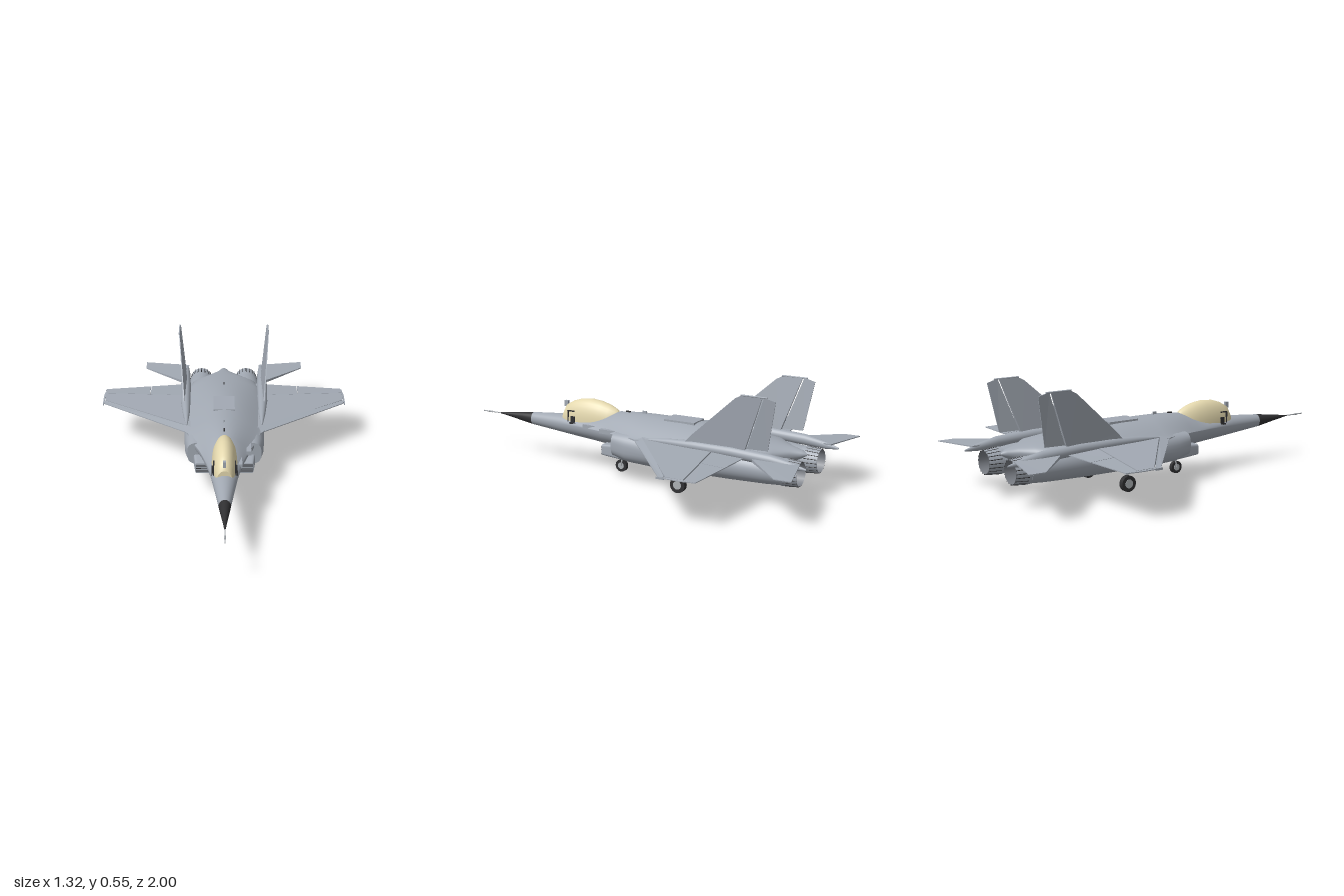
import * as THREE from 'three';

const mat = (name, color, side = THREE.FrontSide) => {
  const m = new THREE.MeshStandardMaterial({ color, side });
  m.name = name;
  return m;
};

export function createModel() {
  const model = new THREE.Group();
  model.name = 'jet';
  const grey = mat('airframe grey', 0xa2a9b3);
  const dark = mat('dark grey', 0x303032);
  const gold = mat('tinted canopy', 0xe4d8ae);
  const metal = mat('light metal', 0xacb0b4);
  const exhaust = mat('exhaust metal', 0x7c8087, THREE.DoubleSide);

  const add = (name, geo, material, x = 0, y = 0, z = 0) => {
    const mesh = new THREE.Mesh(geo, material);
    mesh.name = name;
    mesh.position.set(x, y, z);
    model.add(mesh);
    return mesh;
  };
  const box = (name, w, h, d, material, x, y, z) =>
    add(name, new THREE.BoxGeometry(w, h, d), material, x, y, z);

  // rod between two points
  const rod = (name, a, b, r, material) => {
    const p = new THREE.Vector3(...a), q = new THREE.Vector3(...b);
    const m = add(name, new THREE.CylinderGeometry(r, r, p.distanceTo(q), 10), material);
    m.position.copy(p).lerp(q, 0.5);
    m.quaternion.setFromUnitVectors(new THREE.Vector3(0, 1, 0), q.sub(p).normalize());
  };

  const wheel = (name, x, y, z, r, w) => {
    add(name, new THREE.CylinderGeometry(r, r, w, 24), dark, x, y, z).rotation.z = Math.PI / 2;
    add(name + 'Hub', new THREE.CylinderGeometry(r * 0.55, r * 0.55, w + 0.004, 16), metal, x, y, z).rotation.z = Math.PI / 2;
  };

  // skin over cross-sections that run from front to back, with flat end caps
  const loft = (sections, ring, n = 40) => {
    const pos = [], idx = [];
    const rings = sections.map(s => Array.from({ length: n }, (_, j) => {
      const [x, y] = ring(s, (j / n) * Math.PI * 2);
      return [x, y, s[0]];
    }));
    rings.forEach(r => r.forEach(p => pos.push(...p)));
    for (let i = 0; i < rings.length - 1; i++) for (let j = 0; j < n; j++) {
      const a = i * n + j, b = i * n + (j + 1) % n, c = a + n, d = b + n;
      idx.push(a, c, b, c, d, b);
    }
    for (const [r, front] of [[rings[0], true], [rings[rings.length - 1], false]]) {
      const o = pos.length / 3;
      r.forEach(p => pos.push(...p));
      for (let j = 1; j < n - 1; j++) front ? idx.push(o, o + j, o + j + 1) : idx.push(o, o + j + 1, o + j);
    }
    const g = new THREE.BufferGeometry();
    g.setAttribute('position', new THREE.Float32BufferAttribute(pos, 3));
    g.setIndex(idx);
    g.computeVertexNormals();
    return g;
  };
  const signedPow = (v, e) => Math.sign(v) * Math.abs(v) ** e;
  // [z, half width, top, edge, bottom, shoulder power]
  const bodyRing = ([, w, top, edge, low, k], t) => {
    const s = Math.sin(t);
    return [w * Math.cos(t), s > 0 ? edge + (top - edge) * s ** k : edge - (edge - low) * -s];
  };
  // [z, centre x, centre y, radius x, radius y, squareness]
  const tubeRing = ([, cx, cy, rx, ry, n = 2], t) =>
    [cx + rx * signedPow(Math.cos(t), 2 / n), cy + ry * signedPow(Math.sin(t), 2 / n)];

  // flat-sided slab from corners [x, y, z, half thickness] thickened along a normal
  const panel = (corners, normal) => {
    const N = new THREE.Vector3(...normal).normalize();
    const P = corners.map(c => new THREE.Vector3(c[0], c[1], c[2]));
    const area = new THREE.Vector3();
    P.forEach((p, i) => area.add(p.clone().cross(P[(i + 1) % P.length])));
    const order = corners.map((_, i) => i);
    if (area.dot(N) < 0) order.reverse();
    const up = order.map(i => P[i].clone().addScaledVector(N, corners[i][3]));
    const down = order.map(i => P[i].clone().addScaledVector(N, -corners[i][3]));
    const pos = [], n = P.length;
    const tri = (...v) => v.forEach(p => pos.push(p.x, p.y, p.z));
    for (let i = 1; i < n - 1; i++) {
      tri(up[0], up[i], up[i + 1]);
      tri(down[0], down[i + 1], down[i]);
    }
    for (let i = 0; i < n; i++) {
      const j = (i + 1) % n;
      tri(down[i], down[j], up[j]);
      tri(down[i], up[j], up[i]);
    }
    const g = new THREE.BufferGeometry();
    g.setAttribute('position', new THREE.Float32BufferAttribute(pos, 3));
    g.computeVertexNormals();
    return g;
  };

  // fuselage, nose and probe
  add('fuselage', loft([
    [0.67, 0.029, 0.25, 0.217, 0.184, 1], [0.47, 0.055, 0.266, 0.22, 0.166, 1],
    [0.38, 0.068, 0.266, 0.224, 0.158, 1.1], [0.28, 0.087, 0.272, 0.227, 0.151, 1.4],
    [0.2, 0.108, 0.297, 0.23, 0.145, 2], [0.14, 0.126, 0.317, 0.233, 0.142, 2.3],
    [0.03, 0.172, 0.325, 0.238, 0.138, 2.5], [-0.07, 0.193, 0.325, 0.24, 0.138, 2.5],
    [-0.25, 0.2, 0.324, 0.24, 0.14, 2.4], [-0.42, 0.2, 0.315, 0.24, 0.145, 2.1],
    [-0.6, 0.197, 0.293, 0.236, 0.15, 1.6], [-0.7, 0.175, 0.28, 0.232, 0.16, 1.3],
    [-0.76, 0.105, 0.271, 0.23, 0.17, 1], [-0.82, 0.045, 0.261, 0.23, 0.185, 1],
    [-0.87, 0.022, 0.25, 0.23, 0.21, 1], [-0.895, 0.004, 0.235, 0.23, 0.225, 1]], bodyRing, 48), grey);
  add('noseCone', loft([
    [0.885, 0, 0.22, 0.003, 0.003], [0.8, 0, 0.219, 0.013, 0.014],
    [0.73, 0, 0.218, 0.022, 0.025], [0.67, 0, 0.217, 0.029, 0.033]], tubeRing, 24), dark);
  rod('probe', [0, 0.22, 0.87], [0, 0.22, 1], 0.003, metal);
  rod('probeCollar', [0, 0.22, 0.945], [0, 0.22, 0.965], 0.005, metal);

  // canopy with its dark frame
  add('canopy', loft([
    [0.465, 0.036, 0.29, 0.245, 0.24, 1], [0.45, 0.045, 0.322, 0.245, 0.236, 1],
    [0.41, 0.054, 0.345, 0.243, 0.234, 0.9], [0.36, 0.06, 0.361, 0.242, 0.232, 0.9],
    [0.3, 0.063, 0.367, 0.242, 0.232, 0.9], [0.24, 0.06, 0.36, 0.243, 0.232, 0.9],
    [0.19, 0.052, 0.346, 0.246, 0.236, 1], [0.155, 0.038, 0.33, 0.25, 0.24, 1],
    [0.14, 0.026, 0.318, 0.255, 0.245, 1]], bodyRing, 32), gold);
  for (const s of [-1, 1]) {
    box('canopySill', 0.006, 0.007, 0.24, dark, s * 0.061, 0.237, 0.285);
    box('canopyPost', 0.006, 0.064, 0.006, dark, s * 0.053, 0.268, 0.418);
    box('canopyPost', 0.006, 0.038, 0.024, dark, s * 0.059, 0.255, 0.385);
    box('canopyBrace', 0.006, 0.006, 0.042, dark, s * 0.052, 0.3, 0.4);
  }
  box('sensorBall', 0.014, 0.03, 0.02, grey, 0, 0.325, 0.458);

  // spine details, gun fairing and port on the left side
  box('airbrake', 0.11, 0.014, 0.17, grey, 0, 0.3185, -0.235);
  box('antenna', 0.006, 0.014, 0.022, grey, 0, 0.331, -0.01);
  for (const [z, y] of [[0.085, 0.322], [-0.53, 0.304]]) box('beacon', 0.007, 0.01, 0.025, dark, 0, y, z);
  box('gunFairing', 0.024, 0.022, 0.1, grey, 0.122, 0.238, 0.13);
  box('gunPort', 0.018, 0.02, 0.08, grey, 0.078, 0.236, 0.27);

  for (const s of [-1, 1]) {
    // engine nacelle and intake
    add('nacelle', loft([
      [0.08, s * 0.12, 0.188, 0.068, 0.06, 3], [0.0, s * 0.122, 0.18, 0.08, 0.074, 2.6],
      [-0.15, s * 0.124, 0.177, 0.085, 0.08, 2.2], [-0.55, s * 0.125, 0.175, 0.084, 0.078],
      [-0.75, s * 0.128, 0.172, 0.075, 0.07], [-0.835, s * 0.128, 0.17, 0.068, 0.063]], tubeRing), grey);
    add('intake', loft([
      [0.16, s * 0.11, 0.145, 0.037, 0.028, 6], [0.07, s * 0.115, 0.148, 0.042, 0.036, 6],
      [-0.02, s * 0.118, 0.15, 0.05, 0.044, 4]], tubeRing), grey);
    for (let i = 0; i < 5; i++) box('intakeGrille', 0.066, 0.002, 0.004, dark, s * 0.11, 0.126 + i * 0.0095, 0.161);

    // exhaust nozzle with petal seams
    add('nozzle', new THREE.LatheGeometry([[0.066, 0], [0.066, 0.02], [0.06, 0.09]]
      .map(p => new THREE.Vector2(...p)), 20), grey, s * 0.128, 0.17, -0.828).rotation.x = -Math.PI / 2;
    add('nozzleLiner', new THREE.CylinderGeometry(0.057, 0.057, 0.085, 20, 1, true),
      exhaust, s * 0.128, 0.17, -0.876).rotation.x = -Math.PI / 2;
    add('nozzleCore', new THREE.CircleGeometry(0.057, 20), dark, s * 0.128, 0.17, -0.84).rotation.y = Math.PI;
    for (let i = 0; i < 20; i++) {
      const t = (i / 20) * Math.PI * 2, c = Math.cos(t), q = Math.sin(t);
      rod('petalSeam', [s * 0.128 + c * 0.065, 0.17 + q * 0.065, -0.85],
        [s * 0.128 + c * 0.059, 0.17 + q * 0.059, -0.918], 0.002, dark);
    }

    // tail boom under each fin
    add('tailBoom', loft([
      [-0.12, s * 0.195, 0.25, 0.004, 0.004], [-0.25, s * 0.2, 0.254, 0.018, 0.018],
      [-0.4, s * 0.207, 0.257, 0.026, 0.026], [-0.6, s * 0.211, 0.255, 0.028, 0.028],
      [-0.8, s * 0.213, 0.243, 0.023, 0.027], [-0.91, s * 0.212, 0.228, 0.013, 0.018],
      [-0.975, s * 0.21, 0.22, 0.003, 0.004]], tubeRing, 24), grey);

    // wing in separate panels with narrow gaps between them
    const surface = (name, pts) => add(name, panel(pts.map(([x, z, h]) =>
      [s * x, 0.243 - 0.028 * x, z, h]), [0, 1, 0]), grey);
    surface('wing', [[0.15, -0.07, 0.014], [0.205, -0.13, 0.012], [0.645, -0.475, 0.005], [0.65, -0.568, 0.005], [0.15, -0.485, 0.014]]);
    surface('wingRoot', [[0.15, -0.02, 0.002], [0.192, -0.05, 0.002], [0.21, -0.075, 0.003], [0.21, -0.13, 0.012], [0.15, -0.08, 0.014]]);
    surface('slat', [[0.205, -0.067, 0.002], [0.645, -0.437, 0.002], [0.658, -0.468, 0.003], [0.64, -0.466, 0.005], [0.205, -0.125, 0.011]]);
    surface('wingTip', [[0.648, -0.475, 0.004], [0.658, -0.468, 0.002], [0.66, -0.54, 0.002], [0.652, -0.63, 0.002], [0.65, -0.568, 0.004]]);
    surface('flap', [[0.15, -0.49, 0.012], [0.403, -0.532, 0.008], [0.403, -0.652, 0.002], [0.15, -0.675, 0.002]]);
    surface('aileron', [[0.407, -0.533, 0.008], [0.65, -0.573, 0.004], [0.65, -0.63, 0.002], [0.407, -0.652, 0.002]]);
    box('tipRail', 0.006, 0.01, 0.04, grey, s * 0.655, 0.223, -0.455);
    surface('tailplane', [[0.2, -0.69, 0.008], [0.25, -0.725, 0.007], [0.447, -0.915, 0.002], [0.447, -1, 0.002], [0.2, -0.94, 0.003]]);

    // underwing pylons
    for (const [x, z, len] of [[0.268, -0.33, 0.26], [0.337, -0.38, 0.24], [0.41, -0.42, 0.22], [0.485, -0.46, 0.18]])
      box('pylon', 0.012, 0.022, len, grey, s * x, 0.213, z);

    // canted fin and rudder
    const upright = (name, pts) => add(name, panel(pts.map(([y, z, h]) =>
      [s * (0.213 + (y - 0.27) * 0.112), y, z, h]), [1, -0.112 * s, 0]), grey);
    upright('fin', [[0.25, -0.33, 0.004], [0.31, -0.385, 0.003], [0.525, -0.625, 0.002], [0.543, -0.66, 0.002], [0.545, -0.765, 0.003], [0.25, -0.66, 0.009]]);
    upright('rudder', [[0.285, -0.68, 0.008], [0.545, -0.773, 0.003], [0.53, -0.83, 0.002], [0.285, -0.785, 0.002]]);
    rod('finCap', [s * 0.244, 0.544, -0.655], [s * 0.244, 0.544, -0.79], 0.004, grey);

    // main landing gear
    wheel('mainWheel', s * 0.18, 0.04, -0.3, 0.04, 0.026);
    rod('mainStrut', [s * 0.163, 0.04, -0.3], [s * 0.155, 0.13, -0.29], 0.008, metal);
    rod('mainBrace', [s * 0.163, 0.07, -0.3], [s * 0.15, 0.115, -0.24], 0.004, metal);
    rod('mainAxle', [s * 0.155, 0.04, -0.3], [s * 0.18, 0.04, -0.3], 0.007, metal);
    box('gearDoor', 0.004, 0.03, 0.09, grey, s * 0.05, 0.125, 0.05).rotation.z = s * 0.6;
  }

  // nose landing gear
  wheel('noseWheel', 0, 0.032, 0.125, 0.032, 0.02);
  for (const s of [-1, 1]) rod('noseFork', [s * 0.013, 0.032, 0.125], [s * 0.01, 0.075, 0.115], 0.004, metal);
  rod('noseStrut', [0, 0.07, 0.117], [0, 0.155, 0.08], 0.009, metal);
  rod('noseBrace', [0, 0.09, 0.108], [0, 0.15, 0.14], 0.004, metal);

  return model;
}
